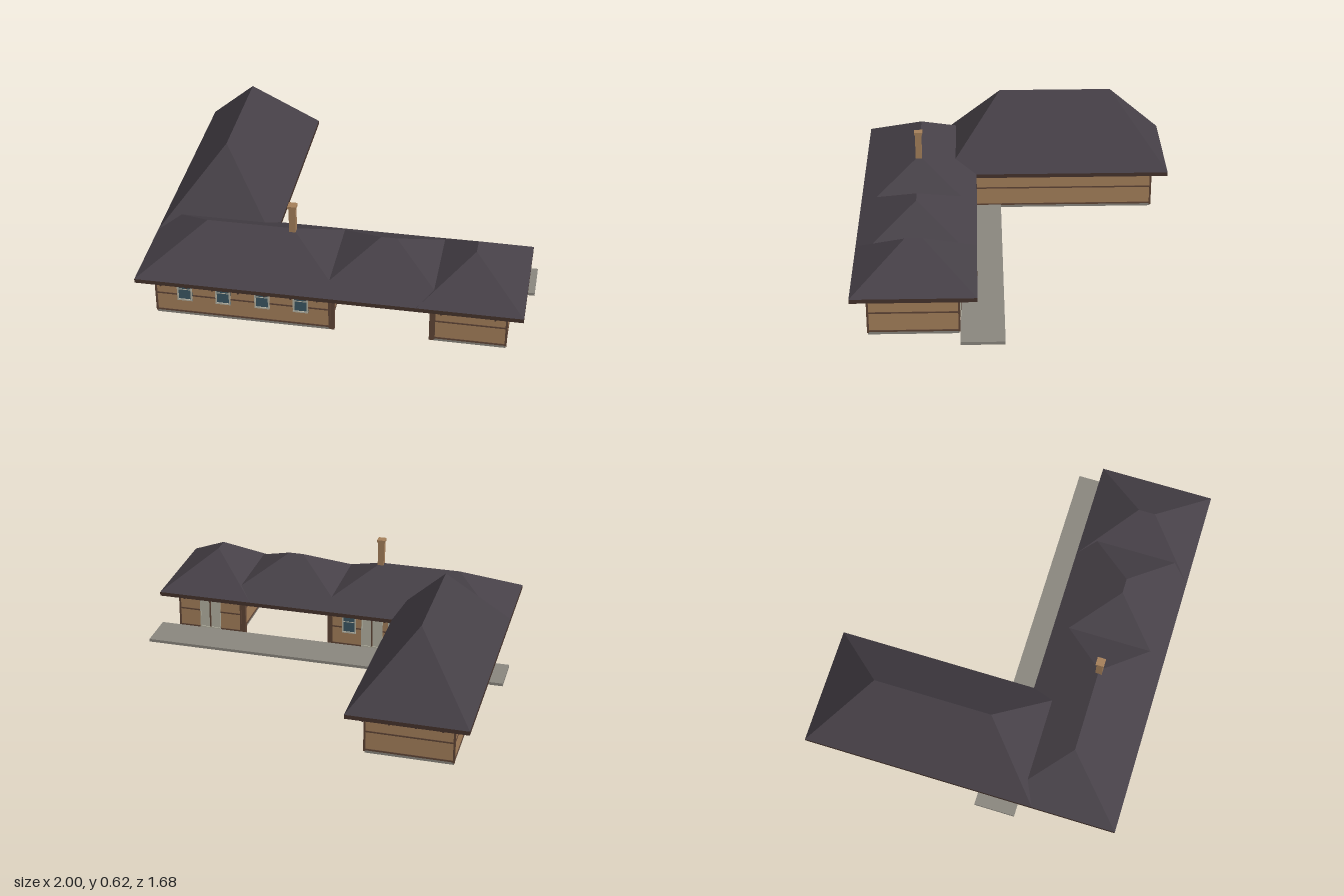
import * as THREE from 'three';

const mat = (name, color, extra = {}) =>
  Object.assign(new THREE.MeshStandardMaterial({ color, ...extra }), { name });

export function createModel() {
  const root = new THREE.Group();
  root.name = 'longHouse';
  const M = {
    roof: mat('slate roof', 0x464047),
    wall: mat('tan wall', 0xa47f5a),
    trim: mat('brown trim', 0x5f4536),
    eave: mat('dark eave wood', 0x45332c),
    stone: mat('grey concrete', 0x8a867e),
    frame: mat('pale frame', 0xb4b2a2),
    glass: mat('blue glass', 0x3b5662),
  };

  const add = (parent, name, geo, material) => {
    const m = new THREE.Mesh(geo, material);
    m.name = name;
    parent.add(m);
    return m;
  };
  // Box given by its lower and upper limits on each axis
  const box = (parent, name, material, x0, x1, y0, y1, z0, z1) => {
    const m = add(parent, name, new THREE.BoxGeometry(x1 - x0, y1 - y0, z1 - z0), material);
    m.position.set((x0 + x1) / 2, (y0 + y1) / 2, (z0 + z1) / 2);
    return m;
  };
  const group = (name) => {
    const g = new THREE.Group();
    g.name = name;
    root.add(g);
    return g;
  };

  // Hip roof with its ridge along the longer side, over a flat eave slab
  const EAVE = 0.25;
  function hipRoof(name, x0, x1, z0, z1, top) {
    const g = group(name);
    box(g, 'eaveSlab', M.eave, x0, x1, 0.228, EAVE, z0, z1);
    const w = x1 - x0, d = z1 - z0, run = Math.min(w, d) / 2;
    const a = [x0, EAVE, z1], b = [x1, EAVE, z1], c = [x1, EAVE, z0], e = [x0, EAVE, z0];
    const alongX = w > d;
    const r0 = alongX ? [x0 + run, top, (z0 + z1) / 2] : [(x0 + x1) / 2, top, z1 - run];
    const r1 = alongX ? [x1 - run, top, (z0 + z1) / 2] : [(x0 + x1) / 2, top, z0 + run];
    const tris = alongX
      ? [a, b, r1, a, r1, r0, b, c, r1, c, e, r0, c, r0, r1, e, a, r0]
      : [a, b, r0, b, c, r1, b, r1, r0, c, e, r1, e, a, r0, e, r0, r1];
    const geo = new THREE.BufferGeometry();
    geo.setAttribute('position', new THREE.Float32BufferAttribute(tris.flat(), 3));
    geo.computeVertexNormals();
    add(g, 'roofSlopes', geo, M.roof);
  }

  // Walls on a concrete base, with horizontal bands and corner boards
  function building(name, x0, x1, z0, z1) {
    const g = group(name);
    box(g, 'foundation', M.stone, x0, x1, 0, 0.015, z0, z1);
    box(g, 'walls', M.wall, x0, x1, 0.015, 0.23, z0, z1);
    const t = 0.003;
    for (const [y, h] of [[0.015, 0.009], [0.119, 0.008], [0.219, 0.009]])
      box(g, 'band', M.trim, x0 - t, x1 + t, y, y + h, z0 - t, z1 + t);
    for (const x of [x0, x1]) for (const z of [z0, z1])
      box(g, 'cornerBoard', M.trim, x - 0.005, x + 0.005, 0.012, 0.23, z - 0.005, z + 0.005);
  }

  // Window or door on a wall facing +z (s = 1) or -z (s = -1)
  function opening(name, x, z, s, w, y0, y1, panel, rail) {
    const g = group(name);
    const slab = (n, m, xa, xb, ya, yb, t) =>
      box(g, n, m, xa, xb, ya, yb, Math.min(z, z + s * t), Math.max(z, z + s * t));
    const l = x - w / 2, r = x + w / 2, f = 0.008;
    slab('pane', panel, l, r, y0, y1, 0.004);
    slab('jamb', M.frame, l, l + f, y0, y1, 0.007);
    slab('jamb', M.frame, r - f, r, y0, y1, 0.007);
    slab('sill', M.frame, l, r, y0, y0 + f, 0.009);
    slab('head', M.frame, l, r, y1 - f, y1, 0.007);
    if (rail) slab('rail', M.frame, l, r, (y0 + y1) / 2 - 0.002, (y0 + y1) / 2 + 0.002, 0.006);
    else slab('doorGap', M.trim, x - 0.004, x + 0.004, y0, y1, 0.008);
  }

  // Triangular bracket under the eave
  function bracket(x, z, s) {
    const shape = new THREE.Shape([
      new THREE.Vector2(0, 0.19), new THREE.Vector2(0.075, 0.218),
      new THREE.Vector2(0.075, 0.229), new THREE.Vector2(0, 0.229)]);
    const geo = new THREE.ExtrudeGeometry(shape, { depth: 0.007, bevelEnabled: false });
    geo.translate(0, 0, -0.0035);
    const m = add(root, 'eaveBracket', geo, M.eave);
    m.rotation.y = -s * Math.PI / 2;
    m.position.set(x, 0, z);
  }

  // Paved walk
  box(root, 'walkway', M.stone, -1, 1, 0.001, 0.017, 0.085, 0.305);

  // Three blocks of the house
  building('frontBlock', -0.895, 0, 0.31, 0.76);
  building('rearWing', -0.895, -0.445, -0.76, 0.31);
  building('endBlock', 0.53, 0.89, 0.31, 0.76);

  // Roofs
  hipRoof('frontRoof', -0.98, 0.085, 0.22, 0.84, 0.437);
  hipRoof('passageRoof', -0.085, 0.615, 0.22, 0.84, 0.437);
  hipRoof('endRoof', 0.445, 0.975, 0.22, 0.84, 0.437);
  hipRoof('rearRoof', -0.98, -0.36, -0.845, 0.395, 0.625);

  // Posts of the open passage
  for (const x of [0.012, 0.517]) for (const z of [0.323, 0.747])
    box(root, 'passagePost', M.trim, x - 0.012, x + 0.012, 0, 0.23, z - 0.012, z + 0.012);

  // Windows and doors
  for (const x of [-0.746, -0.547, -0.345, -0.147])
    opening('frontWindow', x, 0.76, 1, 0.078, 0.092, 0.227, M.glass, true);
  for (const x of [-0.36, -0.1])
    opening('backWindow', x, 0.31, -1, 0.078, 0.092, 0.227, M.glass, true);
  opening('backDoor', -0.23, 0.31, -1, 0.12, 0.018, 0.2, M.frame, false);
  opening('endDoor', 0.71, 0.31, -1, 0.12, 0.018, 0.2, M.frame, false);

  // Eave brackets on front and back walls
  for (let i = 0; i < 7; i++) {
    const x = -0.848 + i * 0.133;
    bracket(x, 0.76, 1);
    if (i < 4) bracket(x, -0.76, -1);
    else bracket(x, 0.31, -1);
  }
  for (const x of [0.57, 0.837]) {
    bracket(x, 0.76, 1);
    bracket(x, 0.31, -1);
  }

  // Chimney with a cap
  box(root, 'chimney', M.wall, -0.243, -0.209, 0.3, 0.568, 0.515, 0.549);
  box(root, 'chimneyCap', M.wall, -0.248, -0.204, 0.566, 0.58, 0.51, 0.554);

  return root;
}
